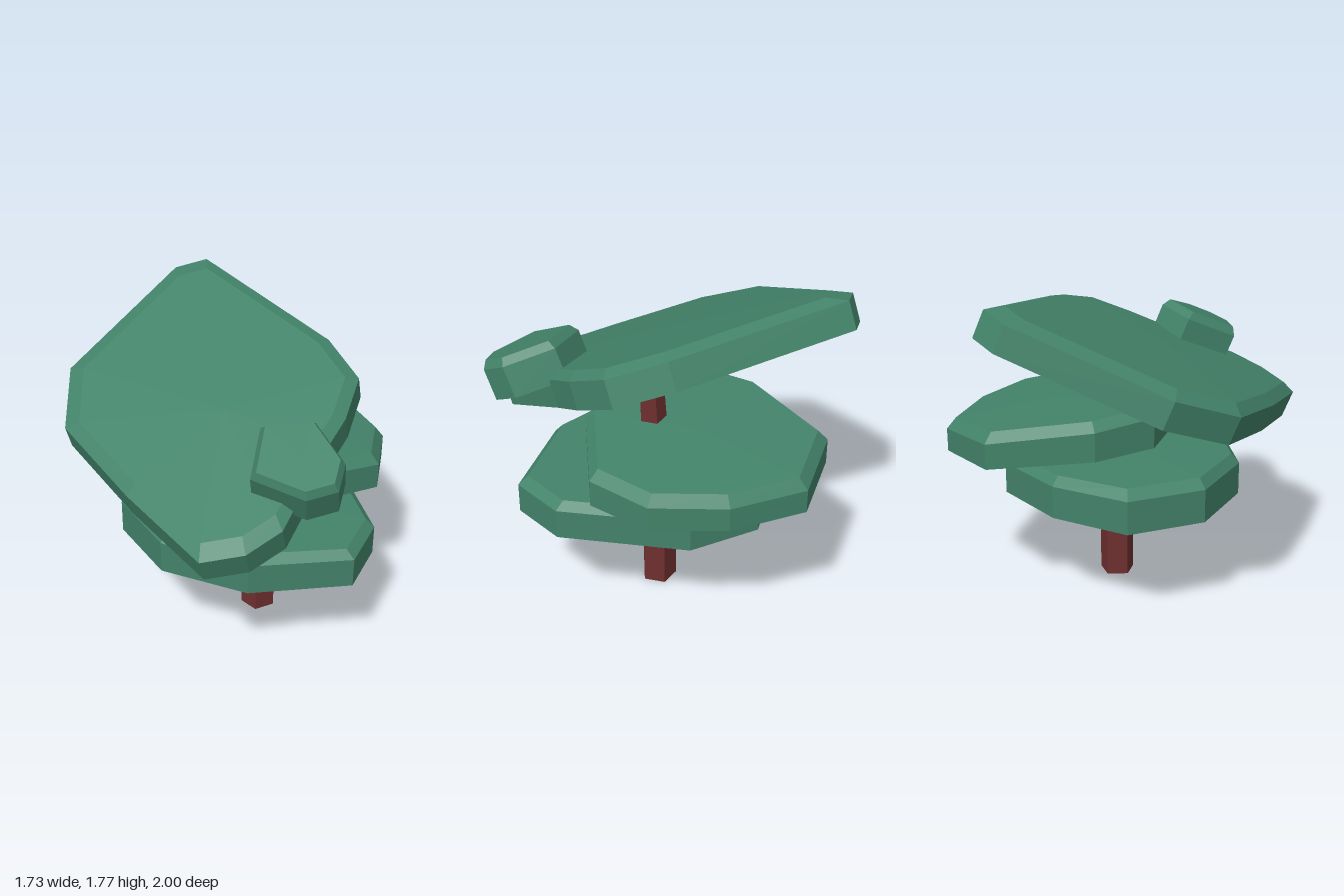
import * as THREE from 'three';

const foliage = new THREE.MeshStandardMaterial({ color: 0x43836a, flatShading: true });
foliage.name = 'foliage green';
const bark = new THREE.MeshStandardMaterial({ color: 0x6f2f2f, flatShading: true });
bark.name = 'bark red brown';

// Skins a stack of equal-sized rings (counter-clockwise from above, bottom to top) and caps both ends.
function loft(name, rings, material, dome = 0) {
  const pos = [];
  const tri = (...pts) => pts.forEach((p) => pos.push(...p));
  const centre = (ring) => [0, 1, 2].map((k) => ring.reduce((s, p) => s + p[k], 0) / ring.length);
  const n = rings[0].length;
  const first = rings[0], last = rings[rings.length - 1];
  const low = centre(first), high = centre(last);
  high[1] += dome;
  for (let i = 0; i < n; i++) {
    const j = (i + 1) % n;
    for (let r = 0; r + 1 < rings.length; r++) {
      const a = rings[r], b = rings[r + 1];
      tri(a[i], a[j], b[j]);
      tri(a[i], b[j], b[i]);
    }
    tri(low, first[j], first[i]);
    tri(high, last[i], last[j]);
  }
  const geometry = new THREE.BufferGeometry();
  geometry.setAttribute('position', new THREE.Float32BufferAttribute(pos, 3));
  geometry.computeVertexNormals();
  const mesh = new THREE.Mesh(geometry, material);
  mesh.name = name;
  return mesh;
}

// A leaf pad: straight sides, then a bevel scaled in towards the middle.
function pad(name, outline, bottomY, rimY, topY, inset, dome) {
  const cx = outline.reduce((s, p) => s + p[0], 0) / outline.length;
  const cz = outline.reduce((s, p) => s + p[1], 0) / outline.length;
  const ring = (height, scale) => outline.map(([x, z]) => {
    const px = cx + (x - cx) * scale, pz = cz + (z - cz) * scale;
    return [px, height(px, pz), pz];
  });
  return loft(name, [ring(bottomY, 1), ring(rimY, 1), ring(topY, inset)], foliage, dome);
}

export function createModel() {
  const model = new THREE.Group();
  model.name = 'tree';

  // Five-sided trunk that narrows and leans: x, y, z, radius
  const trunkPath = [
    [0.21, 0, -0.045, 0.1], [0.21, 0.53, -0.045, 0.1], [0.213, 0.6, -0.046, 0.086],
    [0.225, 0.78, -0.05, 0.067], [0.27, 0.95, -0.06, 0.068], [0.3, 1.1, -0.075, 0.075], [0.31, 1.35, -0.07, 0.068],
  ];
  model.add(loft('trunk', trunkPath.map(([x, y, z, r]) => Array.from({ length: 5 }, (_, i) => {
    const a = (i / 5) * Math.PI * 2;
    return [x + r * Math.sin(a), y, z + r * Math.cos(a)];
  })), bark));

  // Lowest pad, nearly level
  model.add(pad('lowerFoliage', [
    [-0.54, -0.25], [-0.53, 0.19], [-0.235, 0.52], [0.25, 0.63], [0.785, 0.465],
    [0.865, 0.15], [0.58, -0.495], [0.23, -0.695], [-0.2, -0.55],
  ], () => 0.578, (x) => 0.757 - 0.015 * x, (x) => 0.807 - 0.025 * x, 0.93, 0.01));

  // Middle pad, towards the back
  model.add(pad('middleFoliage', [
    [-0.32, -0.35], [-0.27, 0], [0.02, 0.22], [0.46, 0.245], [0.855, -0.07],
    [0.855, -0.42], [0.63, -0.755], [0.29, -1], [-0.13, -0.89],
  ], (x, z) => 0.915 - 0.06 * x + 0.05 * z,
  (x, z) => 1.08 - 0.08 * x + 0.08 * z,
  (x, z) => 1.135 - 0.08 * x + 0.08 * z, 0.92, 0.01));

  // Large tilted crown pad
  const crown = pad('crownFoliage', [
    [-0.86, -0.17], [-0.79, 0.24], [-0.36, 0.65], [0.08, 1.01], [0.3, 0.95], [0.46, 0.8],
    [0.61, 0.31], [0.69, 0.1], [0.73, -0.17], [0.54, -0.43], [-0.24, -1.02], [-0.41, -0.95],
  ], () => 0, () => 0.155, () => 0.195, 0.9, 0.015);
  crown.position.set(0, 1.26, 0);
  crown.rotation.set(0.39, 0, 0.08);
  model.add(crown);

  // Small tuft on the crown
  const tuft = pad('smallTuft', [
    [-0.235, 0.14], [0.05, 0.23], [0.2, 0.16], [0.215, 0], [0.04, -0.23], [-0.23, -0.17],
  ], () => 0, () => 0.175, () => 0.22, 0.88, 0);
  tuft.position.set(0.5, 1.235, 0.5);
  tuft.rotation.x = 0.42;
  model.add(tuft);

  return model;
}
